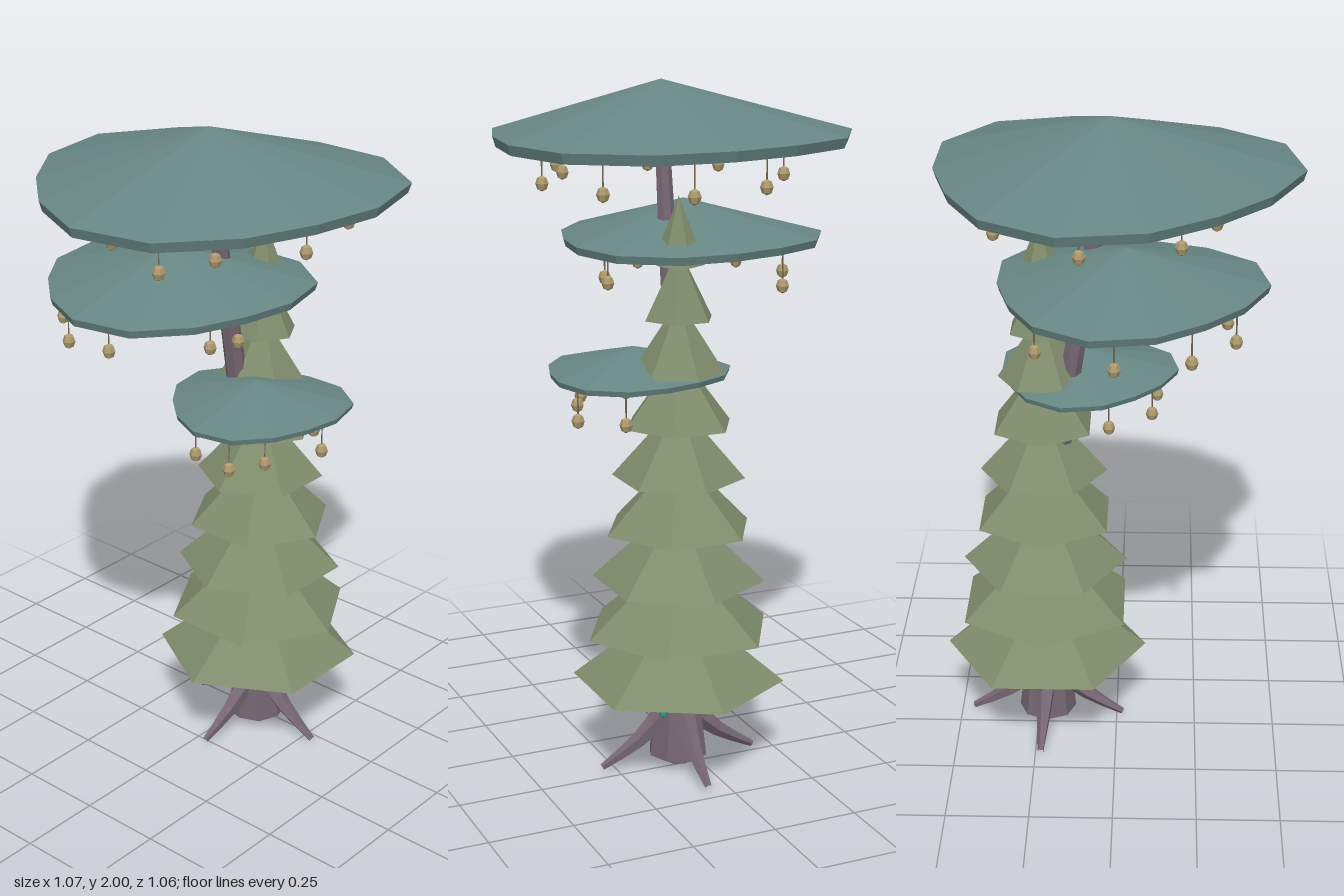
import * as THREE from 'three';

const mat = (name, color) => {
  const m = new THREE.MeshStandardMaterial({ color, flatShading: true });
  m.name = name;
  return m;
};
const canopyTeal = mat('canopyTeal', 0x678683);
const needleGreen = mat('needleGreen', 0x7f8c6c);
const barkPurple = mat('barkPurple', 0x756571);
const fruitTan = mat('fruitTan', 0xae9a6e);
const stringBrown = mat('stringBrown', 0x776450);
const budTeal = mat('budTeal', 0x389f90);

const PINE = { x: 0.221, z: 0.055 };

function add(parent, name, geometry, material, x = 0, y = 0, z = 0) {
  const mesh = new THREE.Mesh(geometry, material);
  mesh.name = name;
  mesh.position.set(x, y, z);
  parent.add(mesh);
  return mesh;
}

// Tube along a curve whose radius shrinks from r0 to r1
function taperedTube(points, r0, r1, sides, segments) {
  const curve = new THREE.CatmullRomCurve3(points.map(p => new THREE.Vector3(...p)));
  const geo = new THREE.TubeGeometry(curve, segments, 1, sides);
  const pos = geo.attributes.position;
  const v = new THREE.Vector3();
  for (let i = 0; i < pos.count; i++) {
    const t = Math.floor(i / (sides + 1)) / segments;
    const c = curve.getPointAt(t);
    v.fromBufferAttribute(pos, i).sub(c).multiplyScalar(THREE.MathUtils.lerp(r0, r1, t)).add(c);
    pos.setXYZ(i, v.x, v.y, v.z);
  }
  geo.computeVertexNormals();
  return geo;
}

// Wavy outline shared by the canopies, from +x round by the back
const WAVE = [0.947, 0.933, 1.027, 1.082, 1.008, 0.926, 0.954, 1.055, 1.069, 0.971, 0.92, 0.985, 1.076, 1.046];

function canopyGeometry(radius, rimDrop, thickness) {
  const profile = [[0, -rimDrop - thickness], [radius * 0.982, -rimDrop - thickness], [radius, -rimDrop], [0, 0]];
  const geo = new THREE.LatheGeometry(profile.map(p => new THREE.Vector2(...p)), WAVE.length, Math.PI / 2);
  const pos = geo.attributes.position;
  for (let i = 0; i < pos.count; i++) {
    const k = WAVE[Math.floor(i / profile.length) % WAVE.length];
    pos.setXYZ(i, pos.getX(i) * k, pos.getY(i), pos.getZ(i) * k);
  }
  geo.computeVertexNormals();
  return geo;
}

// Each canopy: apex, radius, rim drop, thickness, and pendant positions [x, z]
const CANOPIES = [
  { name: 'topCanopy', at: [0.02, 2, 0.02], r: 0.525, drop: 0.153, thick: 0.03, fruitY: 1.72,
    fruits: [[0.432, 0.105], [0.288, 0.31], [0.008, 0.38], [-0.203, 0.237], [-0.376, 0.19],
      [-0.282, -0.07], [-0.182, -0.26], [0.092, -0.34], [0.336, -0.16]] },
  { name: 'middleCanopy', at: [-0.03, 1.65, -0.075], r: 0.388, drop: 0.11, thick: 0.023, fruitY: 1.415,
    fruits: [[0.153, 0.025], [0.22, -0.274], [-0.003, -0.39], [-0.214, -0.338], [-0.34, -0.19],
      [-0.32, -0.053], [-0.114, 0.142], [-0.024, 0.169]] },
  { name: 'lowCanopy', at: [0.095, 1.25, 0.14], r: 0.265, drop: 0.07, thick: 0.016, fruitY: 1.062,
    fruits: [[0.157, 0.338], [0.255, 0.232], [-0.02, 0.27], [-0.12, 0.22], [-0.105, 0.08], [0.022, -0.02]] },
];

function addCanopy(parent, c) {
  const group = new THREE.Group();
  group.name = c.name;
  parent.add(group);
  add(group, 'cap', canopyGeometry(c.r, c.drop, c.thick), canopyTeal, ...c.at);
  // Hanging fruits on strings
  const under = c.at[1] - c.drop - c.thick + 0.005;
  const length = under - c.fruitY;
  const string = new THREE.CylinderGeometry(0.0025, 0.0025, length, 4);
  const fruit = new THREE.SphereGeometry(0.019, 6, 4).scale(1, 1.2, 1);
  for (const [x, z] of c.fruits) {
    add(group, 'string', string, stringBrown, x, c.fruitY + length / 2, z);
    add(group, 'fruit', fruit, fruitTan, x, c.fruitY, z);
  }
}

export function createModel() {
  const model = new THREE.Group();
  model.name = 'entwinedTrees';

  // Pine: flared stump, inner trunk and nine hexagonal tiers turned alternately
  const pine = new THREE.Group();
  pine.name = 'pine';
  pine.position.set(PINE.x, 0, PINE.z);
  model.add(pine);
  add(pine, 'stump', new THREE.CylinderGeometry(0.057, 0.09, 0.27, 8), barkPurple, 0, 0.165, 0);
  add(pine, 'stumpFoot', new THREE.CylinderGeometry(0.04, 0.037, 0.05, 7), barkPurple, 0, 0.025, 0);
  add(pine, 'innerTrunk', new THREE.CylinderGeometry(0.015, 0.05, 1.25, 6), barkPurple, 0, 0.9, 0);
  for (let i = 0; i < 9; i++) {
    const height = 0.25 - i * 0.007;
    const tier = new THREE.ConeGeometry(0.312 - i * 0.0298, height, 6);
    const mesh = add(pine, 'needleTier', tier, needleGreen, 0, 0.265 + i * 0.1545 + height / 2, 0);
    mesh.rotation.y = i % 2 ? 0 : Math.PI / 6;
  }

  // Roots running out from the stump
  const root = taperedTube([[0.03, 0.18, 0], [0.09, 0.11, 0], [0.16, 0.06, 0], [0.24, 0.014, 0]], 0.038, 0.01, 5, 4);
  for (let i = 0; i < 4; i++) {
    add(pine, 'root', root, barkPurple).rotation.y = i * Math.PI / 2 - 0.05;
  }

  // Small bud on the stump
  const bud = new THREE.SphereGeometry(0.017, 6, 4).scale(1, 1.9, 1);
  add(pine, 'bud', bud, budTeal, 0.042, 0.193, 0.066);

  // Leaning trunk and the branches that carry the lower canopies
  const trunk = [[0.215, 0.05, 0.05], [0.2, 0.45, 0.045], [0.185, 0.85, 0.035], [0.14, 1.2, 0.03], [0.085, 1.5, 0.027], [0.025, 1.9, 0.022]];
  add(model, 'leaningTrunk', taperedTube(trunk, 0.05, 0.021, 7, 10), barkPurple);
  add(model, 'middleBranch', taperedTube([[0.088, 1.47, 0.027], [0.035, 1.508, -0.03], [-0.03, 1.565, -0.09]], 0.023, 0.014, 5, 3), barkPurple);
  add(model, 'lowBranch', taperedTube([[0.13, 1.12, 0.03], [0.1, 1.145, 0.085], [0.09, 1.21, 0.14]], 0.026, 0.015, 5, 3), barkPurple);

  for (const c of CANOPIES) addCanopy(model, c);
  return model;
}
